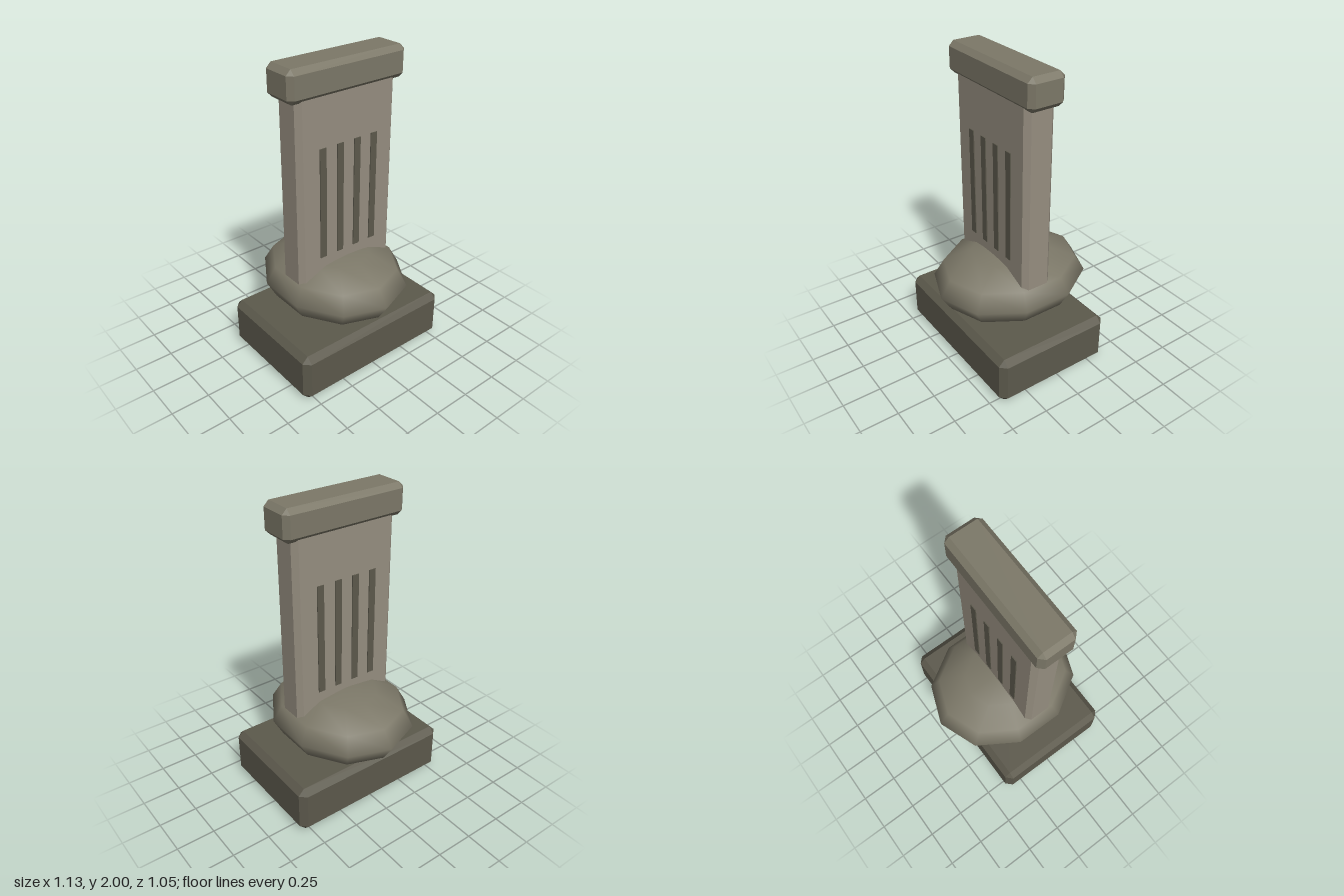
import * as THREE from 'three';
import { ConvexGeometry } from 'three/addons/geometries/ConvexGeometry.js';

const mat = (color) => new THREE.MeshStandardMaterial({ color });
const DARK = mat(0x5c594c), MID = mat(0x7c7868), LIGHT = mat(0x968e80);
const AXIS_Z = 0.04; // the slab, cap and base share this depth centre

// Box with every edge and corner cut off by the same bevel
function chamferBox(w, h, d, bevel) {
  const half = [w / 2, h / 2, d / 2];
  const points = [];
  for (const sx of [-1, 1]) for (const sy of [-1, 1]) for (const sz of [-1, 1]) {
    for (let axis = 0; axis < 3; axis++) {
      const [x, y, z] = half.map((v, i) => (i === axis ? v : v - bevel));
      points.push(new THREE.Vector3(sx * x, sy * y, sz * z));
    }
  }
  return new ConvexGeometry(points);
}

export function createModel() {
  const model = new THREE.Group();
  model.name = 'monument';
  const add = (name, geometry, material, x, y, z) => {
    const mesh = new THREE.Mesh(geometry, material);
    mesh.name = name;
    mesh.position.set(x, y, z);
    model.add(mesh);
    return mesh;
  };

  // Plinth
  add('base', chamferBox(1.13, 0.325, 0.81, 0.04), DARK, 0, 0.1625, AXIS_Z);

  // Squashed ten-sided boulder, a vertex on the front and back
  const mound = new THREE.SphereGeometry(1, 10, 6, Math.PI / 2);
  mound.scale(0.447, 0.22, 0.525);
  add('mound', mound, MID, 0, 0.505, 0);

  // Upright slab, sunk into the mound and the cap
  add('slab', chamferBox(0.73, 1.4, 0.205, 0.032), LIGHT, 0, 1.15, AXIS_Z);

  // Cap stone
  add('cap', chamferBox(0.85, 0.2, 0.245, 0.032), MID, 0, 1.9, AXIS_Z);

  // Vertical strips standing just proud of both slab faces
  for (let i = 0; i < 4; i++) {
    add('strip', new THREE.BoxGeometry(0.047, 0.73, 0.217), DARK, (i - 1.5) * 0.129, 1.135, AXIS_Z);
  }
  return model;
}
